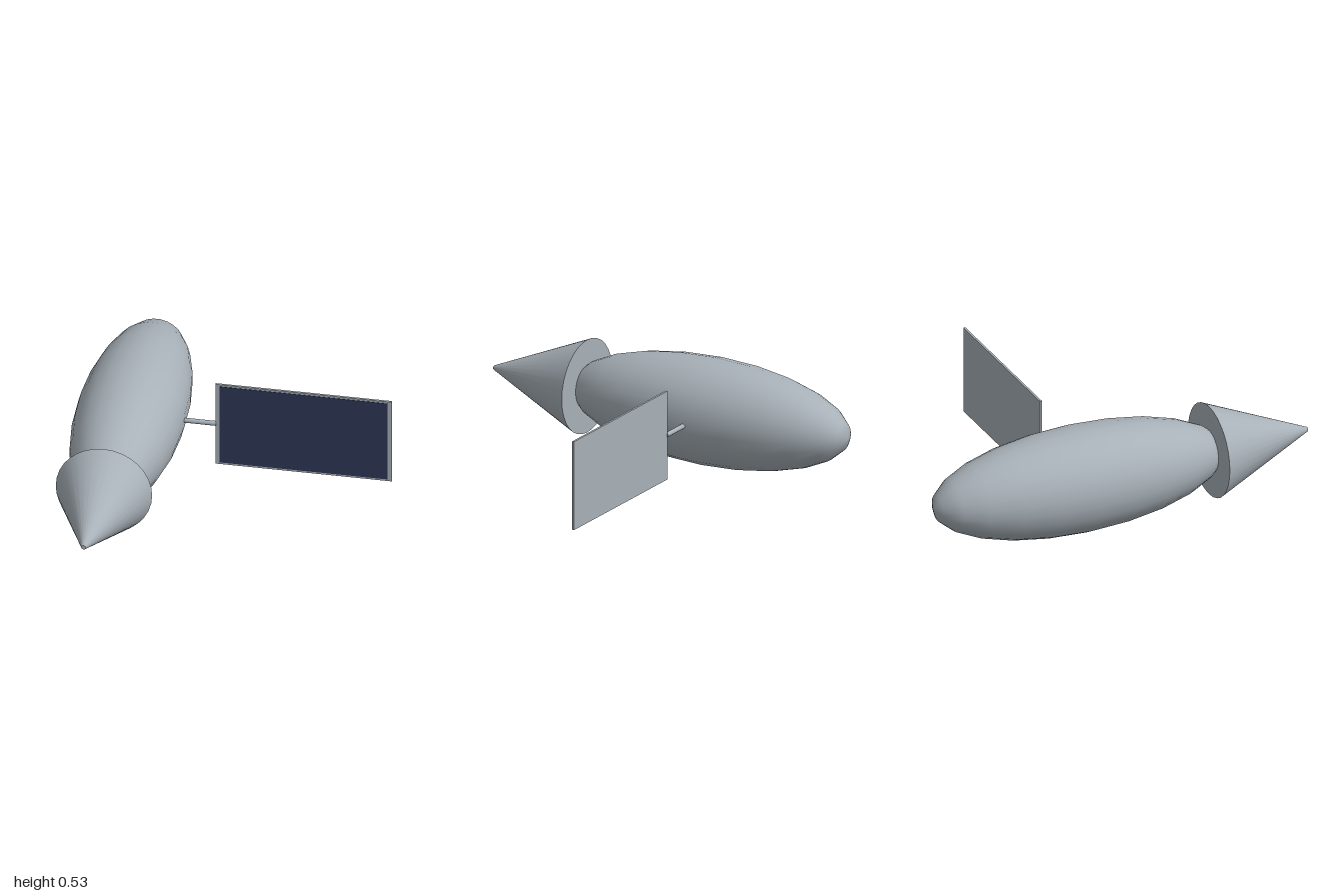
import * as THREE from 'three';

export function createModel() {
  const model = new THREE.Group();
  const hullGrey = new THREE.MeshStandardMaterial({ color: 0xa8b1b8 });
  hullGrey.name = 'hullGrey';
  const cellBlue = new THREE.MeshStandardMaterial({ color: 0x2e3755 });
  cellBlue.name = 'cellBlue';

  const bodyX = -0.51, axisY = 0.2635, midZ = -0.225;

  function add(name, geometry, material, x, y, z) {
    const mesh = new THREE.Mesh(geometry, material);
    mesh.name = name;
    mesh.position.set(x, y, z);
    model.add(mesh);
    return mesh;
  }

  // Long ellipsoid body, poles along z, flat facets at top and bottom
  const hull = new THREE.SphereGeometry(1, 24, 12);
  hull.rotateY(Math.PI / 24);
  hull.rotateX(Math.PI / 2);
  hull.scale(0.2655, 0.2655, 0.775);
  add('body', hull, hullGrey, bodyX, axisY, midZ);

  // Nose cone with a tiny blunt tip, pointing forward
  const cone = new THREE.CylinderGeometry(0.011, 0.237, 0.525, 32);
  cone.rotateX(Math.PI / 2);
  add('noseCone', cone, hullGrey, bodyX, axisY, 0.7375);

  // Arm from the body to the panel
  const arm = new THREE.CylinderGeometry(0.012, 0.012, 0.18, 12);
  arm.rotateZ(Math.PI / 2);
  add('panelArm', arm, hullGrey, -0.182, axisY, midZ);

  // Panel plate with dark cells on its front face
  const panelX = 0.339;
  add('panelPlate', new THREE.BoxGeometry(0.868, 0.452, 0.011), hullGrey, panelX, axisY, midZ);
  add('panelCells', new THREE.BoxGeometry(0.828, 0.432, 0.003), cellBlue, panelX, axisY, midZ + 0.006);

  return model;
}
